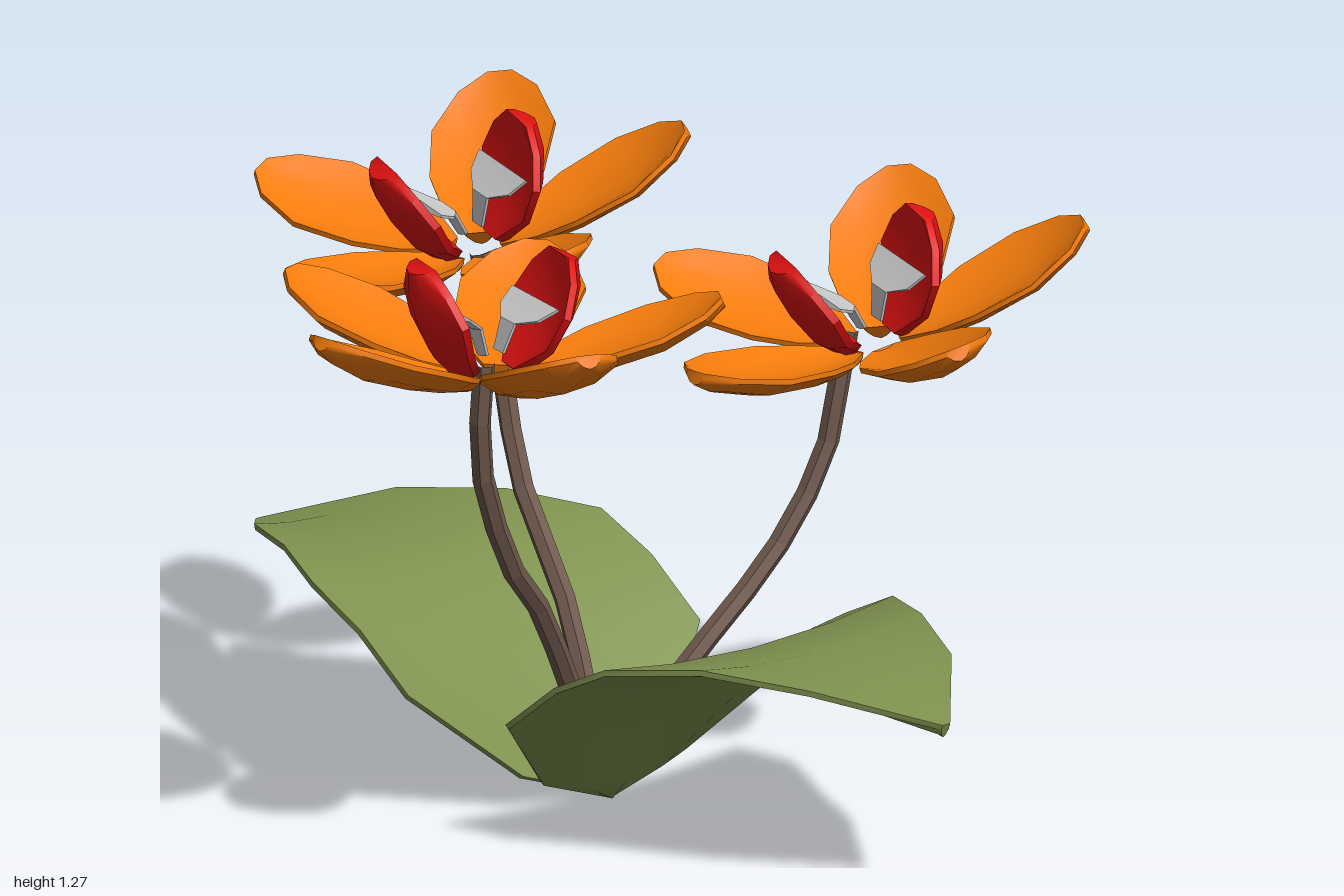
import * as THREE from 'three';
import { toCreasedNormals } from 'three/addons/utils/BufferGeometryUtils.js';

const paint = (color, extra = {}) => new THREE.MeshStandardMaterial({ color, ...extra });
const green = paint(0x7f924f);
const orange = paint(0xf57c0c);
const red = paint(0xe01212);
const brown = paint(0x6e584c, { flatShading: true });
const grey = paint(0xcccccc);

// Closed, cupped blade growing along +x. Each station: [x, rim height, half width, cup depth].
function blade(stations, thickness, crease = 0.8) {
  const us = [-1, -0.55, 0, 0.55, 1];
  const n = us.length * 2;
  const pos = [], idx = [];
  stations.forEach(([x, y, hw, cup], i) => {
    const p = stations[Math.max(i - 1, 0)];
    const q = stations[Math.min(i + 1, stations.length - 1)];
    const len = Math.hypot(q[0] - p[0], q[1] - p[1]);
    const nx = -(q[1] - p[1]) / len, ny = (q[0] - p[0]) / len;
    const put = (u, under) => {
      const d = -cup * (1 - u * u) - (under ? thickness * (1 - 0.6 * u * u) : 0);
      pos.push(x + nx * d, y + ny * d, hw * u);
    };
    us.forEach((u) => put(u, false));
    [...us].reverse().forEach((u) => put(u, true));
  });
  for (let i = 0; i < stations.length - 1; i++) {
    for (let j = 0; j < n; j++) {
      const a = i * n + j, c = i * n + (j + 1) % n;
      idx.push(a, c, a + n, c, c + n, a + n);
    }
  }
  const e = (stations.length - 1) * n;
  for (let j = 1; j < n - 1; j++) idx.push(0, j + 1, j, e, e + j, e + j + 1);
  const geo = new THREE.BufferGeometry();
  geo.setAttribute('position', new THREE.Float32BufferAttribute(pos, 3));
  geo.setIndex(idx);
  return toCreasedNormals(geo, crease);
}

const leafGeo = blade([
  [0.0, 0.01, 0.01, 0], [0.025, 0.07, 0.19, 0.02], [0.14, 0.25, 0.39, 0.035], [0.28, 0.355, 0.39, 0.035],
  [0.42, 0.42, 0.385, 0.03], [0.6, 0.44, 0.295, 0.025], [0.8, 0.42, 0.19, 0.02], [0.99, 0.355, 0.01, 0],
], 0.03);

const petalGeo = blade([
  [0.05, 0.02, 0.025, 0.005], [0.12, 0.045, 0.08, 0.02], [0.2, 0.075, 0.115, 0.03],
  [0.32, 0.115, 0.125, 0.03], [0.41, 0.15, 0.08, 0.015], [0.45, 0.168, 0.025, 0],
], 0.028);

const innerPetalGeo = blade([
  [0.035, 0.03, 0.03, 0], [0.075, 0.08, 0.1, 0.01], [0.1, 0.15, 0.13, 0.02],
  [0.125, 0.21, 0.1, 0.015], [0.14, 0.25, 0.05, 0],
], 0.04);

const stamenGeo = blade([
  [0.015, 0.06, 0.02, 0], [0.035, 0.12, 0.03, 0], [0.06, 0.135, 0.08, 0], [0.095, 0.16, 0.1, 0],
], 0.014, 0.2);

function add(parent, name, geo, mat, turn = 0) {
  const mesh = new THREE.Mesh(geo, mat);
  mesh.name = name;
  mesh.rotation.y = turn;
  parent.add(mesh);
  return mesh;
}

function flower() {
  const g = new THREE.Group();
  g.name = 'flower';
  // Five spreading outer petals, one pointing to -x
  for (let i = 0; i < 5; i++) add(g, 'outerPetal', petalGeo, orange, Math.PI + i * Math.PI * 0.4);
  // Two upright inner petals, each with a stamen in front of it
  for (const turn of [-0.36, Math.PI - 0.36]) {
    add(g, 'innerPetal', innerPetalGeo, red, turn);
    add(g, 'stamen', stamenGeo, grey, turn + 0.08);
  }
  return g;
}

function stem(points) {
  const path = new THREE.CurvePath();
  const pts = points.map((p) => new THREE.Vector3(...p));
  const curve = new THREE.CatmullRomCurve3(pts, false, 'catmullrom', 0.2);
  return new THREE.TubeGeometry(curve, 9, 0.022, 6, false);
}

export function createModel() {
  const model = new THREE.Group();
  model.name = 'floweringPlant';

  // Two broad leaves, to the front and the back
  for (const [name, turn] of [['frontLeaf', -Math.PI / 2], ['backLeaf', Math.PI / 2]]) {
    add(model, name, leafGeo, green, turn).position.x = 0.04;
  }

  // Flower positions with sideways tilt, and the bent stems below them
  const plants = [
    { at: [-0.45, 0.985, 0.205], tilt: -0.02,
      path: [[0.03, 0.04, 0.01], [-0.2, 0.43, 0.09], [-0.33, 0.58, 0.12], [-0.43, 0.81, 0.15], [-0.435, 1.01, 0.17]] },
    { at: [0.136, 0.985, -0.47], tilt: 0.26,
      path: [[0.04, 0.04, 0], [0.09, 0.33, -0.15], [0.12, 0.57, -0.33], [0.14, 0.82, -0.41], [0.115, 1.0, -0.435]] },
    { at: [0.576, 0.85, 0.205], tilt: 0.26,
      path: [[0.05, 0.04, 0.01], [0.2, 0.24, 0.06], [0.39, 0.43, 0.1], [0.51, 0.62, 0.13], [0.555, 0.88, 0.15]] },
  ];
  for (const { at, tilt, path } of plants) {
    add(model, 'stem', stem(path), brown);
    const f = flower();
    f.position.set(...at);
    f.rotation.z = tilt;
    model.add(f);
  }
  return model;
}
